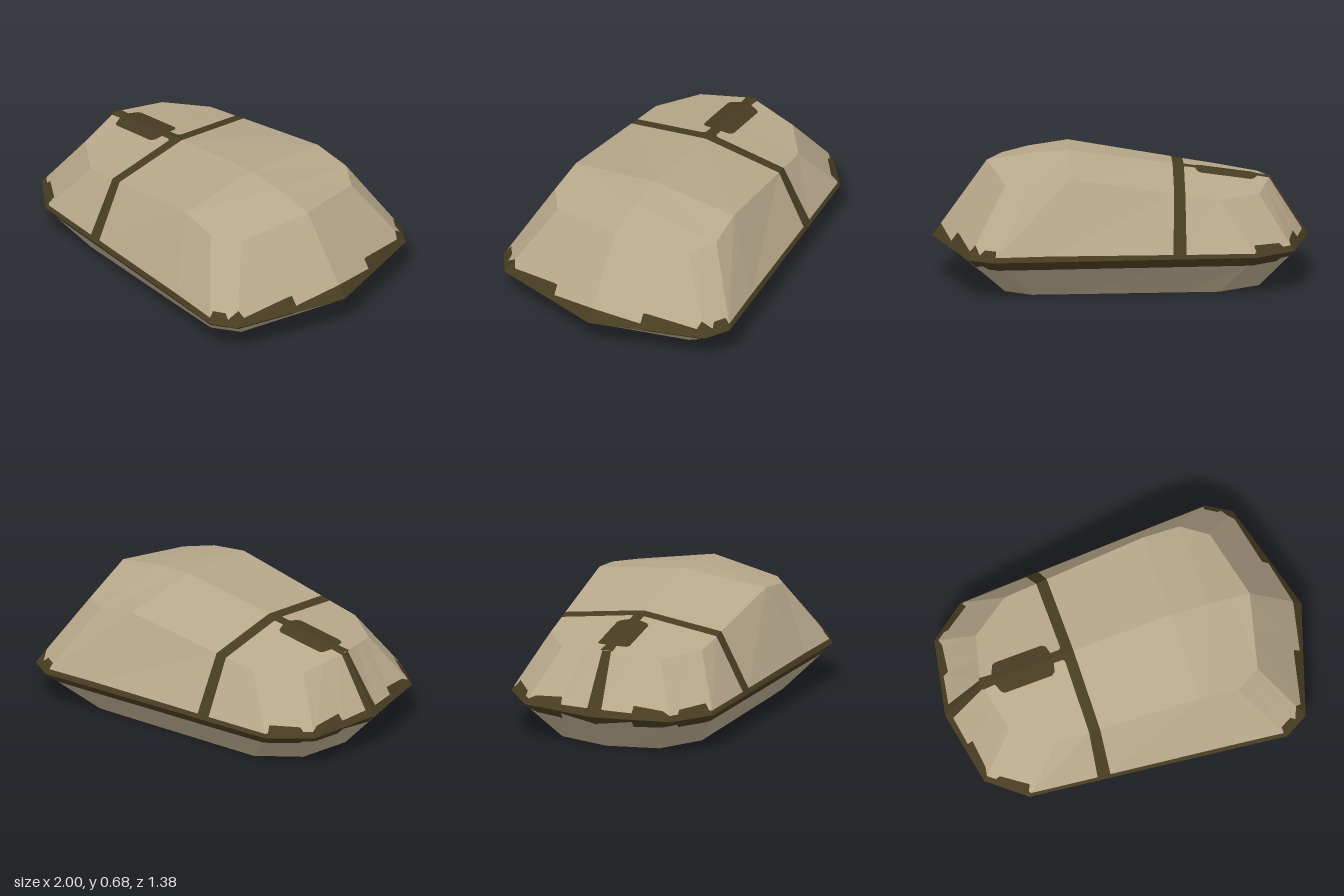
import * as THREE from 'three';

const tan = new THREE.MeshStandardMaterial({ color: 0xb9a98c });
tan.name = 'tan shell';
const dark = new THREE.MeshStandardMaterial({ color: 0x483d22 });
dark.name = 'dark brown trim';

const V = (x, y, z) => new THREE.Vector3(x, y, z);
const RIM = 0.22, FLOOR = 0.003;

// Half outline from nose to tail: rim [x, z], then crown edge [x, y, z]
const stations = [
  { rim: [-1, 0], top: [-0.8, 0.535, 0] },
  { rim: [-0.92, 0.42], top: [-0.735, 0.5, 0.28] },
  { rim: [-0.72, 0.58], top: [-0.52, 0.505, 0.435] },
  { rim: [-0.34, 0.61], top: [-0.34, 0.533, 0.445] },
  { rim: [-0.28, 0.614], top: [-0.28, 0.543, 0.449] },
  { rim: [0.4, 0.667], top: [0.27, 0.63, 0.48] },
  { rim: [0.69, 0.69], top: [0.48, 0.595, 0.49] },
  { rim: [0.82, 0.61], top: [0.62, 0.58, 0.4] },
  { rim: [1, 0], top: [0.71, 0.63, 0] },
].map(({ rim, top }) => ({
  rim: V(rim[0], RIM, rim[1]),
  top: V(...top),
  base: V(top[0], FLOOR, top[2]),
}));
const SEAM = 3; // crown panel between the buttons and the palm rest

// Trim edge: [segment, fraction along it, trim share of upper wall, of lower wall]
const trim = [
  [0, 0, 1, 0.23], [0, 0.09, 1, 0.2], [0, 0.1, 0.12, 0.2],
  [0, 0.5, 0.1, 0.08], [0, 0.53, 0.22, 0.25], [0, 0.92, 0.17, 0.22], [1, 0, 0.1, 0.15],
  [1, 0.2, 0.1, 0.15], [1, 0.25, 0.17, 0.25], [1, 0.88, 0.2, 0.25], [1, 0.94, 0.08, 0.23], [2, 0, 0.07, 0.23],
  [2, 0.99, 0.07, 0.23], [3, 0, 1, 0.23], [4, 0, 1, 0.23], [4, 0.01, 0.07, 0.23],
  [5, 0, 0.07, 0.23], [6, 0, 0.07, 0.23],
  [6, 0.1, 0.15, 0.25], [6, 0.55, 0.15, 0.25], [6, 0.65, 0.08, 0.15], [7, 0, 0.2, 0.22],
  [7, 0.06, 0.1, 0.2], [7, 0.5, 0.19, 0.25], [7, 0.54, 0.19, 0.25], [7, 0.56, 0.07, 0.08], [7, 1, 0.16, 0.23],
];

// Height of the crown's centre ridge
function ridge(x) {
  return x < 0.33 ? 0.535 + 0.137 * (x + 0.8) : 0.69 - 0.158 * (x - 0.33);
}

// Collects flat quads for both mirrored halves and makes one mesh
function part(name, material) {
  const points = [];
  const tri = (a, b, c) => {
    const area = b.clone().sub(a).cross(c.clone().sub(a)).length();
    if (area > 1e-8) for (const p of [a, b, c]) points.push(p.x, p.y, p.z);
  };
  return {
    quad(...corners) {
      for (const s of [1, -1]) {
        const q = corners.map((p) => V(p.x, p.y, p.z * s));
        if (s < 0) q.reverse();
        tri(q[0], q[1], q[2]);
        tri(q[0], q[2], q[3]);
      }
    },
    mesh() {
      const g = new THREE.BufferGeometry();
      g.setAttribute('position', new THREE.Float32BufferAttribute(points, 3));
      g.computeVertexNormals();
      const m = new THREE.Mesh(g, material);
      m.name = name;
      return m;
    },
  };
}

export function createModel() {
  const group = new THREE.Group();
  group.name = 'computerMouse';
  const upper = part('upperShell', tan);
  const lower = part('lowerShell', tan);
  const band = part('rimBand', dark);
  const buttonSeam = part('buttonSeam', dark);
  const slot = part('wheelSlot', dark);

  // Walls above and below the rim, split along the trim edge
  const columns = trim.map(([i, f, up, down]) => {
    const a = stations[i], b = stations[i + 1];
    const rim = a.rim.clone().lerp(b.rim, f);
    const top = a.top.clone().lerp(b.top, f);
    const base = a.base.clone().lerp(b.base, f);
    return { rim, top, base, hi: rim.clone().lerp(top, up), lo: rim.clone().lerp(base, down) };
  });
  for (let i = 0; i < columns.length - 1; i++) {
    const a = columns[i], b = columns[i + 1];
    upper.quad(a.hi, b.hi, b.top, a.top);
    band.quad(a.rim, b.rim, b.hi, a.hi);
    band.quad(a.lo, b.lo, b.rim, a.rim);
    lower.quad(a.base, b.base, b.lo, a.lo);
  }

  // Crown panels and floor
  for (let i = 0; i < stations.length - 1; i++) {
    const a = stations[i], b = stations[i + 1];
    const mid = (p) => V(p.x, ridge(p.x), 0);
    (i === SEAM ? buttonSeam : upper).quad(a.top, b.top, mid(b.top), mid(a.top));
    lower.quad(a.base, V(a.base.x, FLOOR, 0), V(b.base.x, FLOOR, 0), b.base);
  }

  // Scroll wheel slot with the seam running through it: [x, half width]
  const outline = [[-0.8, 0.035], [-0.73, 0.03], [-0.71, 0.08], [-0.69, 0.09],
    [-0.43, 0.09], [-0.41, 0.075], [-0.4, 0.03], [-0.35, 0.03], [-0.33, 0.05]];
  const at = (x, z) => V(x, ridge(x) - 0.16 * z + 0.004, z);
  for (let i = 0; i < outline.length - 1; i++) {
    const [x0, w0] = outline[i], [x1, w1] = outline[i + 1];
    slot.quad(at(x0, w0), at(x1, w1), at(x1, 0), at(x0, 0));
  }
  for (const p of [upper, lower, band, buttonSeam, slot]) group.add(p.mesh());

  // Rounded pad under the floor
  const pad = new THREE.Shape();
  const round = (v) => Math.sign(v) * Math.abs(v) ** (2 / 2.6);
  for (let i = 0; i < 48; i++) {
    const t = (i / 48) * Math.PI * 2;
    const x = -0.045 + 0.7 * round(Math.cos(t)), z = 0.41 * round(Math.sin(t));
    if (i) pad.lineTo(x, z); else pad.moveTo(x, z);
  }
  const padMesh = new THREE.Mesh(new THREE.ShapeGeometry(pad).rotateX(Math.PI / 2), dark);
  padMesh.name = 'basePad';
  group.add(padMesh);
  return group;
}
